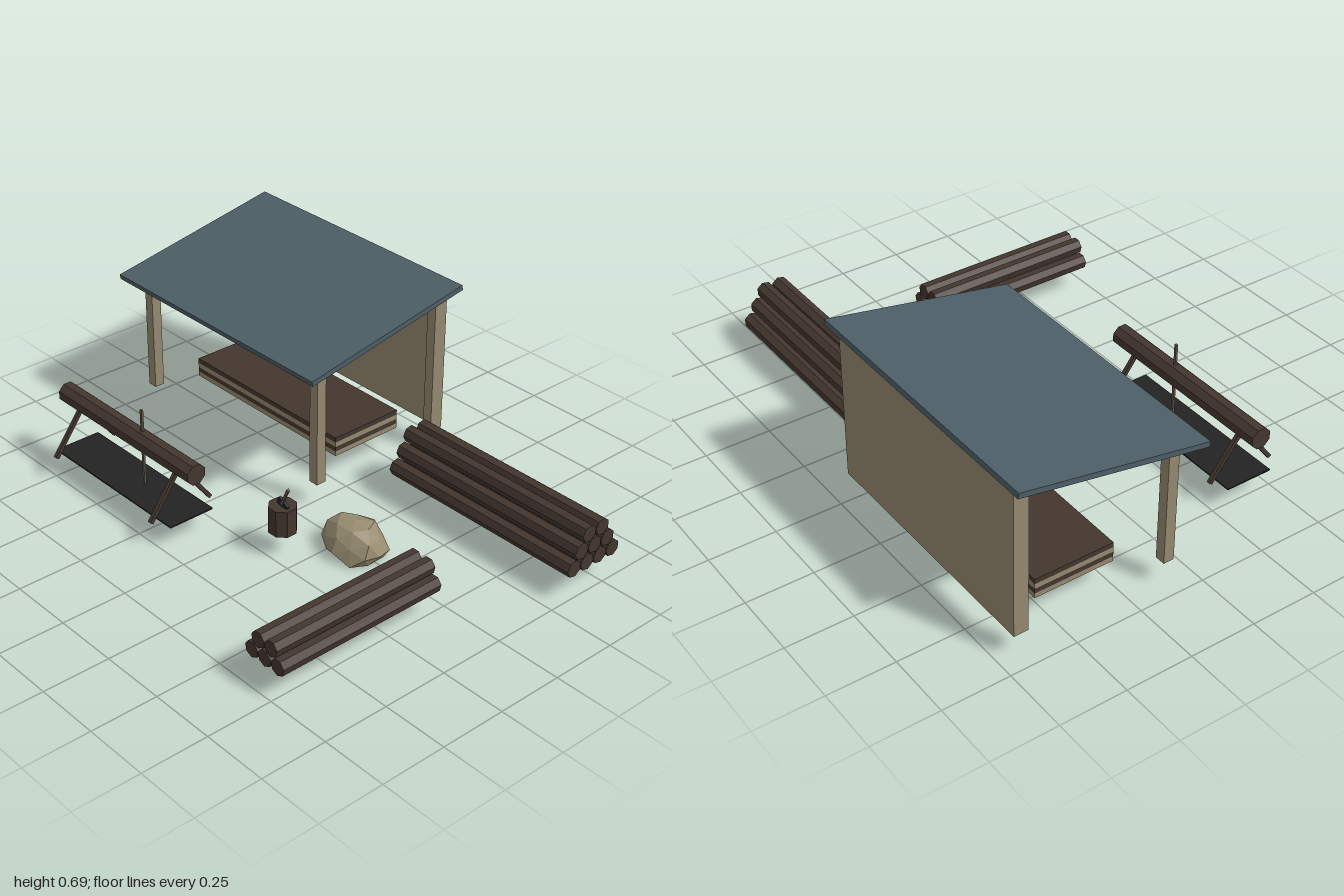
import * as THREE from 'three';

const mat = (name, color, extra = {}) => {
  const m = new THREE.MeshStandardMaterial({ color, flatShading: true, ...extra });
  m.name = name;
  return m;
};

export function createModel() {
  const root = new THREE.Group();
  root.name = 'lumberCamp';
  const paleWood = mat('paleWood', 0x948970);
  const darkWood = mat('darkWood', 0x44362f);
  const slate = mat('slateRoof', 0x4d5e66);
  const stone = mat('stone', 0x988d71);
  const black = mat('blackMat', 0x232323);
  const handleBrown = mat('handleBrown', 0x62564a);
  const GROUND = 0.094;

  const add = (parent, name, geo, material, x = 0, y = 0, z = 0) => {
    const m = new THREE.Mesh(geo, material);
    m.name = name;
    m.position.set(x, y, z);
    parent.add(m);
    return m;
  };
  const group = (name) => {
    const g = new THREE.Group();
    g.name = name;
    root.add(g);
    return g;
  };
  // box given by its minimum and maximum corners
  const box = (parent, name, material, [x0, y0, z0], [x1, y1, z1]) =>
    add(parent, name, new THREE.BoxGeometry(x1 - x0, y1 - y0, z1 - z0), material,
      (x0 + x1) / 2, (y0 + y1) / 2, (z0 + z1) / 2);
  // square bar between two points
  const bar = (parent, name, material, a, b, w) => {
    const p = new THREE.Vector3(...a), q = new THREE.Vector3(...b);
    const m = add(parent, name, new THREE.BoxGeometry(w, p.distanceTo(q), w), material);
    m.position.copy(p).add(q).multiplyScalar(0.5);
    m.quaternion.setFromUnitVectors(new THREE.Vector3(0, 1, 0), q.sub(p).normalize());
    return m;
  };

  // Shelter: back wall, four posts, sloping roof
  const shelter = group('shelter');
  for (const x of [-0.945, -0.01]) {
    box(shelter, 'frontPost', paleWood, [x, GROUND, -0.12], [x + 0.04, 0.543, -0.08]);
    box(shelter, 'backPost', paleWood, [x, GROUND, -0.685], [x + 0.04, 0.655, -0.645]);
  }
  box(shelter, 'backWall', paleWood, [-0.945, GROUND, -0.7], [0.03, 0.655, -0.685]);
  add(shelter, 'roof', new THREE.BoxGeometry(1.085, 0.02, 0.725), slate, -0.4575, 0.621, -0.364)
    .rotation.x = 0.18;

  // Stack of sawn boards under the roof
  const boards = group('boardStack');
  for (let i = 0; i < 4; i++) {
    const y = 0.105 + i * 0.019;
    box(boards, 'boardLayer', i % 2 ? darkWood : paleWood, [-0.85, y, -0.555], [-0.06, y + 0.019, -0.25]);
  }

  // Log piles: rows of logs nested in the gaps of the row below
  const logPile = (name, bottom, rows, r, length, alongX, cx, cz) => {
    const pile = group(name);
    const geo = new THREE.CylinderGeometry(r, r, length, 7);
    if (alongX) geo.rotateZ(Math.PI / 2);
    else geo.rotateX(Math.PI / 2);
    for (let row = 0; row < rows; row++) {
      const n = bottom - row;
      for (let i = 0; i < n; i++) {
        const across = (i - (n - 1) / 2) * r * 1.97;
        const y = GROUND + r * 0.94 + row * r * 1.75;
        add(pile, 'log', geo, darkWood, cx + (alongX ? 0 : across), y, cz + (alongX ? across : 0));
      }
    }
  };
  logPile('largeLogPile', 4, 3, 0.032, 0.845, true, 0.5775, -0.442);
  logPile('smallLogPile', 3, 2, 0.031, 0.675, false, 0.69, 0.3875);

  // Sawhorse holding one log, with a saw standing in the cut
  const sawhorse = group('sawhorse');
  const sawLog = new THREE.CylinderGeometry(0.0405, 0.0405, 0.75, 8, 1, false, Math.PI / 8);
  add(sawhorse, 'sawLog', sawLog.rotateZ(Math.PI / 2), darkWood, -0.438, 0.288, 0.385);
  for (const x of [-0.72, -0.16])
    for (const side of [-1, 1])
      bar(sawhorse, 'sawhorseLeg', darkWood,
        [x, 0.268, 0.385 + side * 0.005], [x, 0.101, 0.385 + side * 0.13], 0.015);
  box(sawhorse, 'groundMat', black, [-0.775, 0.09, 0.29], [-0.1, 0.096, 0.475]);
  box(sawhorse, 'saw', handleBrown, [-0.367, 0.11, 0.381], [-0.357, 0.411, 0.389]);

  // Chopping block with an axe
  const chopping = group('choppingBlock');
  add(chopping, 'stump', new THREE.CylinderGeometry(0.052, 0.052, 0.102, 8, 1, false, Math.PI / 8),
    darkWood, 0.162, 0.145, 0.194);
  bar(chopping, 'axeHandle', handleBrown, [0.163, 0.2, 0.199], [0.227, 0.3, 0.225], 0.009);
  add(chopping, 'axeHead', new THREE.BoxGeometry(0.05, 0.026, 0.01), black, 0.17, 0.206, 0.199)
    .rotation.z = -0.5;

  // Boulder: faceted dome with a flattened, uneven base
  const rock = new THREE.IcosahedronGeometry(1, 1);
  const pos = rock.attributes.position;
  for (let i = 0; i < pos.count; i++) {
    const x = pos.getX(i), y = pos.getY(i), z = pos.getZ(i);
    const k = 0.97 + 0.07 * Math.sin(5.1 * x + 3.3 * y + 7.7 * z + 1);
    const h = y < -0.2 ? 0.004 + 0.008 * (1 + Math.sin(4 * x + 3 * z)) : 0.04 + 0.1 * y * k;
    pos.setXYZ(i, x * k * 0.129, Math.max(h, 0), z * k * 0.104);
  }
  rock.computeVertexNormals();
  add(root, 'boulder', rock, stone, 0.32, 0, 0.003);

  return root;
}
